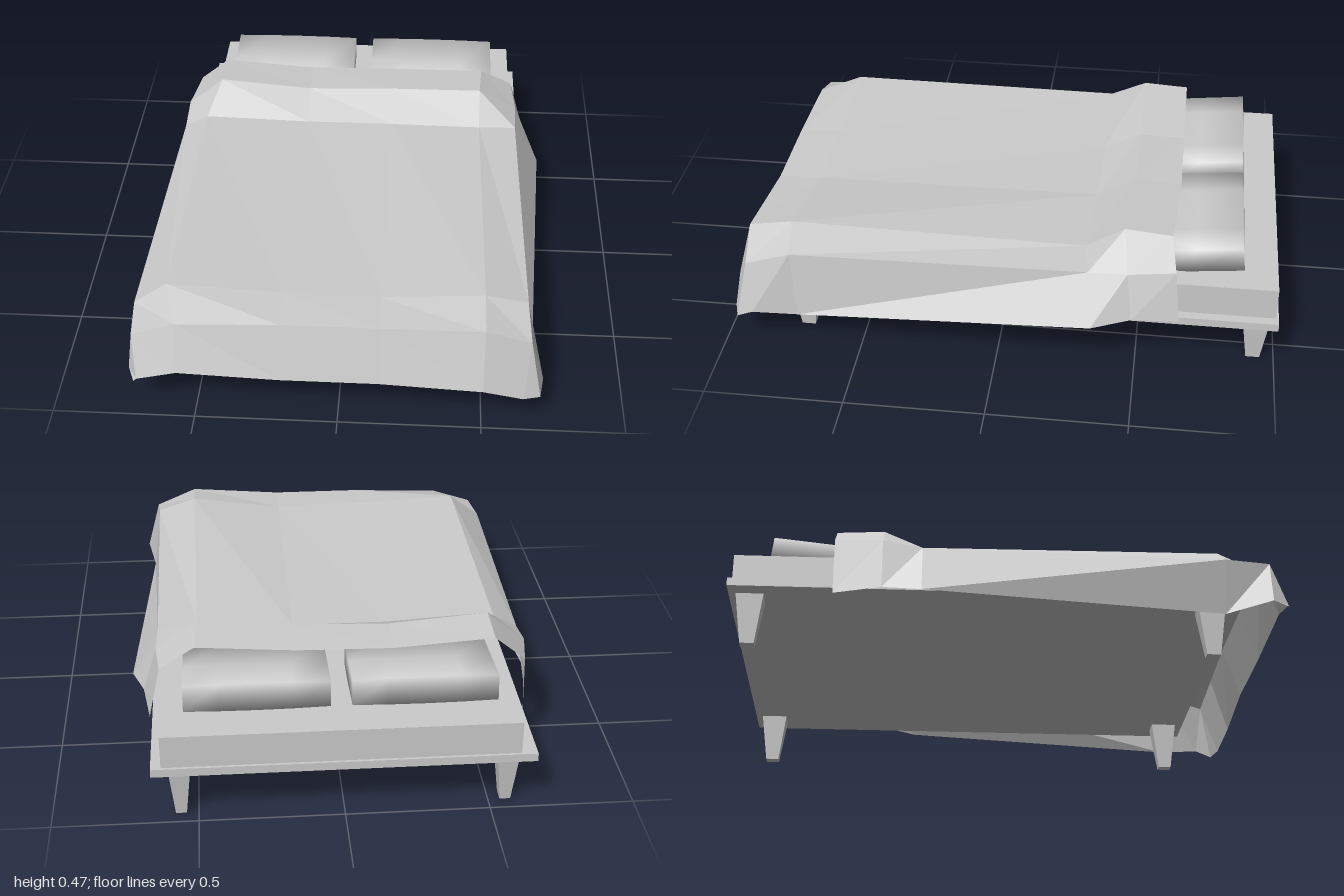
import * as THREE from 'three';
import { mergeVertices } from 'three/addons/utils/BufferGeometryUtils.js';

const flat = new THREE.MeshStandardMaterial({ color: 0xcccccc, flatShading: true });
const smooth = new THREE.MeshStandardMaterial({ color: 0xcccccc });
const cloth = new THREE.MeshStandardMaterial({ color: 0xcccccc, flatShading: true, side: THREE.DoubleSide });

function add(parent, name, geometry, material, x = 0, y = 0, z = 0) {
  const mesh = new THREE.Mesh(geometry, material);
  mesh.name = name;
  mesh.position.set(x, y, z);
  parent.add(mesh);
  return mesh;
}

// Tapered square leg, standing on y = 0
function legGeometry() {
  const g = new THREE.CylinderGeometry(0.05 * Math.SQRT2, 0.025 * Math.SQRT2, 0.19, 4);
  g.rotateY(Math.PI / 4);
  g.scale(0.75, 1, 1);
  g.translate(0, 0.095, 0);
  return g;
}

// Soft pillow: a box slightly thinner toward its sides, with shared normals
function pillowGeometry() {
  let g = new THREE.BoxGeometry(0.5, 0.1, 0.32, 4, 1, 2);
  g.deleteAttribute('uv');
  g.deleteAttribute('normal');
  g = mergeVertices(g);
  const p = g.attributes.position;
  for (let i = 0; i < p.count; i++) {
    const u = p.getX(i) / 0.25;
    p.setY(i, p.getY(i) * (1 - 0.08 * u * u));
  }
  g.computeVertexNormals();
  return g;
}

// Blanket: cross-sections from head to foot, each running from -x hem to +x hem
function blanketGeometry() {
  const sections = [
    { z: -0.63, x: [-0.675, -0.67, -0.56, -0.2, 0.14, 0.5, 0.625, 0.665], y: [0.155, 0.37, 0.46, 0.435, 0.44, 0.455, 0.385, 0.205] },
    { z: -0.46, x: [-0.71, -0.70, -0.56, -0.2, 0.14, 0.49, 0.64, 0.69], y: [0.165, 0.355, 0.47, 0.44, 0.45, 0.465, 0.375, 0.215] },
    { z: -0.32, x: [-0.74, -0.70, -0.61, -0.2, 0.14, 0.49, 0.635, 0.735], y: [0.145, 0.33, 0.38, 0.37, 0.37, 0.38, 0.37, 0.2] },
    { z: 0.75, x: [-0.68, -0.73, -0.61, -0.2, 0.14, 0.5, 0.65, 0.68], y: [0.11, 0.3, 0.39, 0.37, 0.365, 0.405, 0.365, 0.12] },
    { z: 0.91, x: [-0.735, -0.715, -0.56, -0.2, 0.14, 0.5, 0.66, 0.71], y: [0.14, 0.295, 0.345, 0.36, 0.36, 0.38, 0.32, 0.14] },
    { z: 0.97, x: [-0.71, -0.70, -0.56, -0.2, 0.14, 0.5, 0.64, 0.70], y: [0.13, 0.14, 0.175, 0.16, 0.16, 0.16, 0.115, 0.11] },
  ];
  const shift = [0, 0, 0, 0, 0, 0.02, 0, -0.02];
  const n = shift.length, pos = [], index = [];
  sections.forEach((s, r) => {
    for (let c = 0; c < n; c++) {
      pos.push(s.x[c], s.y[c], s.z + shift[c]);
      if (r && c) {
        const d = r * n + c, b = d - n;
        index.push(b - 1, d - 1, d, b - 1, d, b);
      }
    }
  });
  const g = new THREE.BufferGeometry();
  g.setAttribute('position', new THREE.Float32BufferAttribute(pos, 3));
  g.setIndex(index);
  g.computeVertexNormals();
  return g;
}

export function createModel() {
  const bed = new THREE.Group();
  bed.name = 'bed';

  add(bed, 'platform', new THREE.BoxGeometry(1.31, 0.03, 1.8), flat, 0, 0.2, -0.1);
  add(bed, 'mattress', new THREE.BoxGeometry(1.22, 0.12, 1.77), flat, 0.01, 0.275, -0.105);

  const leg = legGeometry();
  for (const x of [-0.56, 0.56]) {
    add(bed, 'frontLeg', leg, flat, x, 0, 0.72);
    add(bed, 'backLeg', leg, flat, x, 0, -0.925);
  }

  // Pillows lean down toward the foot of the bed
  const pillow = pillowGeometry();
  for (const x of [-0.283, 0.29]) {
    add(bed, 'pillow', pillow, smooth, x, 0.385, -0.705).rotation.x = 0.105;
  }

  add(bed, 'blanket', blanketGeometry(), cloth);
  return bed;
}
